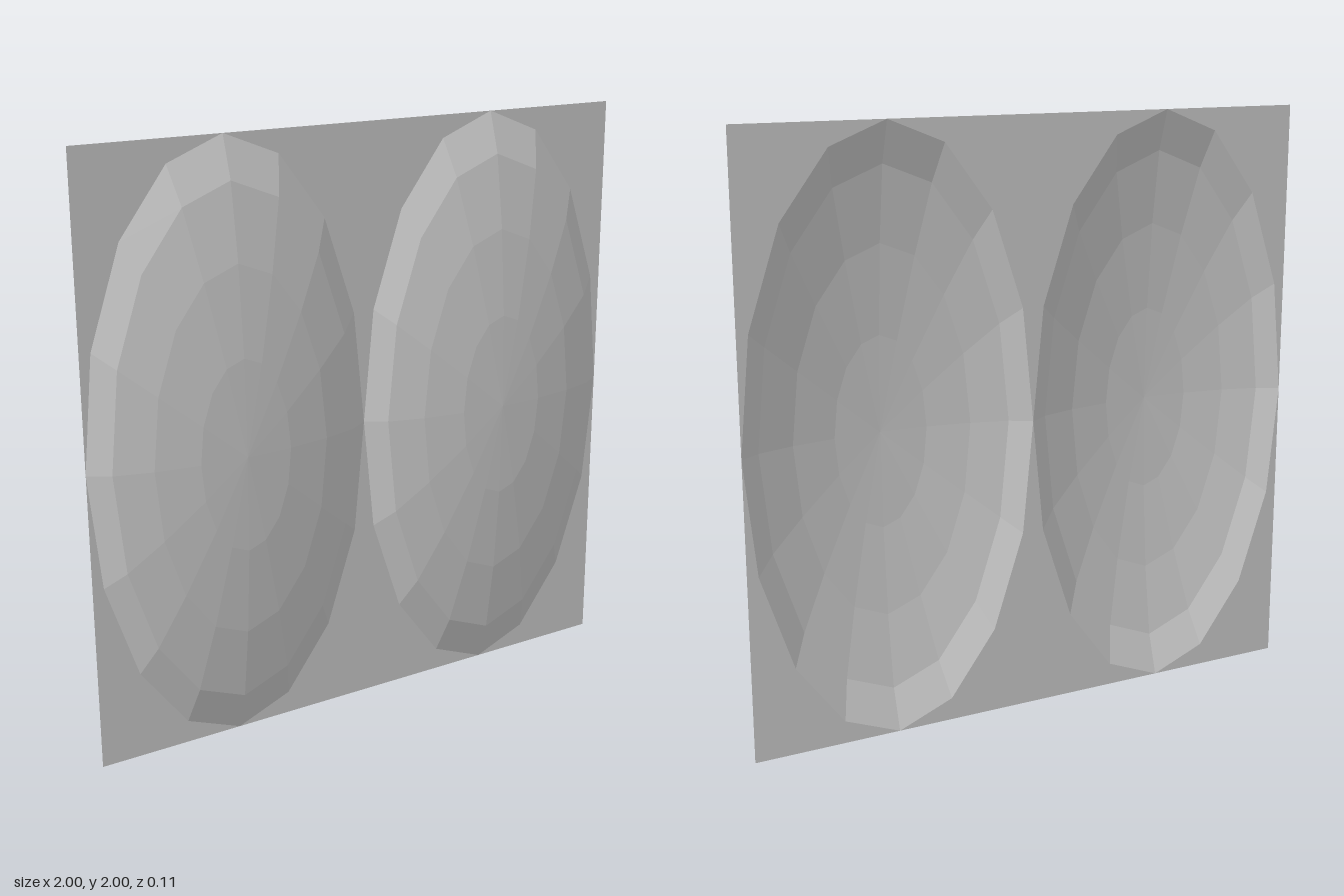
import * as THREE from 'three';

const SIDES = 16;
const BACK = -0.055;

export function createModel() {
  const group = new THREE.Group();
  const material = new THREE.MeshStandardMaterial({
    color: 0xcccccc, flatShading: true, side: THREE.DoubleSide,
  });

  // Shallow faceted bowl, open at the back: [radius, depth] from rim to crown
  const profile = [[1, BACK], [0.863, -0.011], [0.615, 0.024], [0.32, 0.047], [0, 0.055]]
    .map(([r, z]) => new THREE.Vector2(r, z));
  const domeGeometry = new THREE.LatheGeometry(profile, SIDES);
  domeGeometry.rotateX(Math.PI / 2);

  // Thin sheet between one quarter of the rim and its corner
  const quarter = (sx, sy) => {
    const shape = new THREE.Shape();
    shape.moveTo(sx, sy);
    for (let i = 0; i <= SIDES / 4; i++) {
      const a = (i / SIDES) * Math.PI * 2;
      shape.lineTo(sx * Math.cos(a), sy * Math.sin(a));
    }
    shape.closePath();
    return new THREE.ShapeGeometry(shape);
  };

  for (const side of [-1, 1]) {
    const panel = new THREE.Group();
    panel.name = side > 0 ? 'leftPanel' : 'rightPanel';
    panel.position.set(side * 0.5, 1, 0);
    panel.scale.x = 0.5;

    const dome = new THREE.Mesh(domeGeometry, material);
    dome.name = 'dome';
    panel.add(dome);

    for (const sx of [-1, 1]) {
      for (const sy of [-1, 1]) {
        const corner = new THREE.Mesh(quarter(sx, sy), material);
        corner.name = 'sheetCorner';
        corner.position.z = BACK;
        panel.add(corner);
      }
    }
    group.add(panel);
  }
  return group;
}
